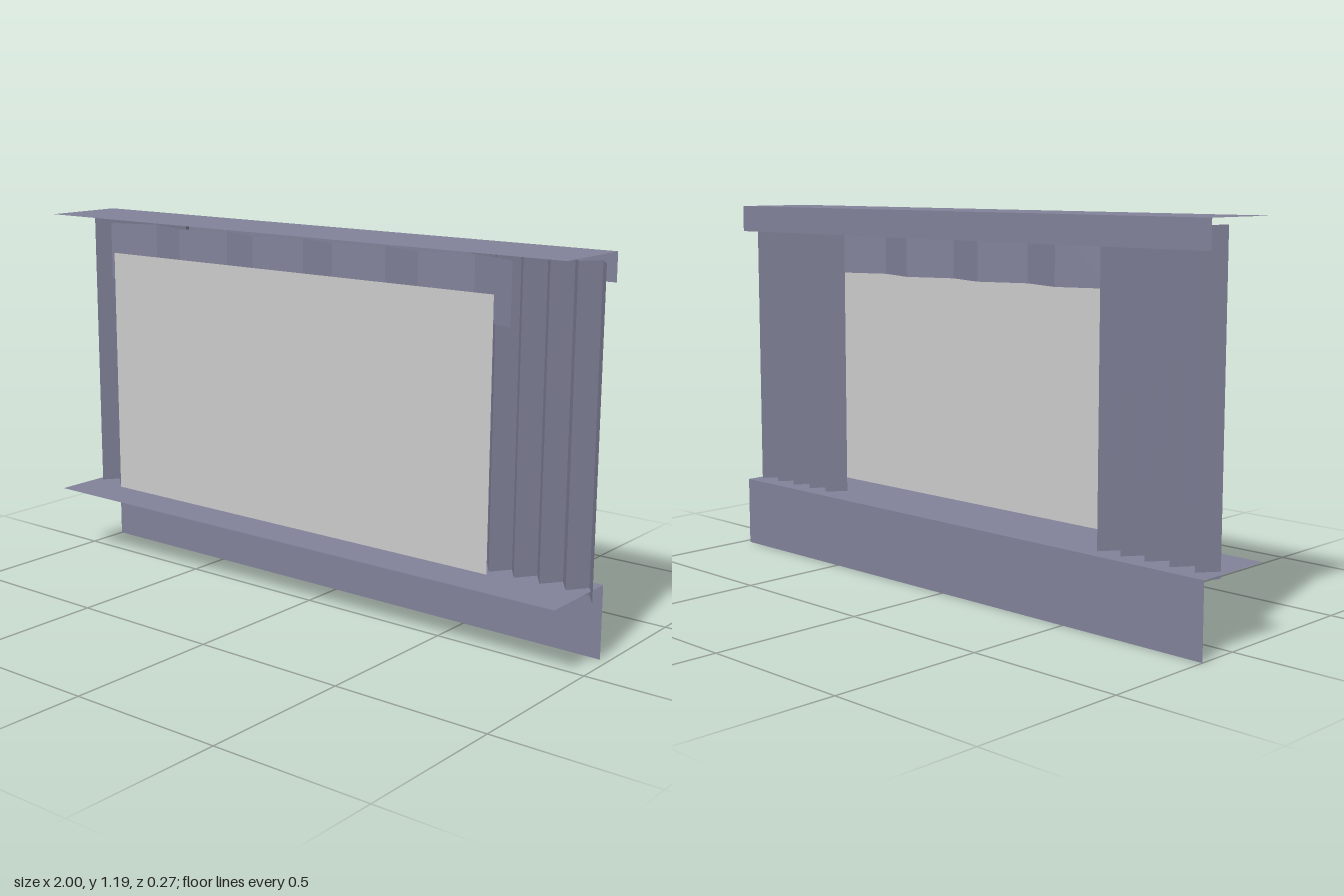
import * as THREE from 'three';

const cloth = new THREE.MeshStandardMaterial({ color: 0x82829a, side: THREE.DoubleSide, flatShading: true });
const grey = new THREE.MeshStandardMaterial({ color: 0xcccccc, side: THREE.DoubleSide });

// Flat upright panel facing +z
function panel(name, x0, x1, y0, y1, z, material) {
  const mesh = new THREE.Mesh(new THREE.PlaneGeometry(x1 - x0, y1 - y0), material);
  mesh.position.set((x0 + x1) / 2, (y0 + y1) / 2, z);
  mesh.name = name;
  return mesh;
}

// Flat horizontal board
function board(name, x0, x1, z0, z1, y) {
  const geometry = new THREE.PlaneGeometry(x1 - x0, z1 - z0).rotateX(-Math.PI / 2);
  const mesh = new THREE.Mesh(geometry, cloth);
  mesh.position.set((x0 + x1) / 2, y, (z0 + z1) / 2);
  mesh.name = name;
  return mesh;
}

// Pleated sheet: folds alternate between zFront and zBack
function pleats(name, x0, x1, y0, y1, zFront, zBack, folds) {
  const mesh = panel(name, x0, x1, y0, y1, 0, cloth);
  mesh.geometry = new THREE.PlaneGeometry(x1 - x0, y1 - y0, folds, 1);
  const pos = mesh.geometry.attributes.position;
  for (let i = 0; i < pos.count; i++) {
    pos.setZ(i, (i % (folds + 1)) % 2 ? zBack : zFront);
  }
  mesh.geometry = mesh.geometry.toNonIndexed();
  mesh.geometry.computeVertexNormals();
  return mesh;
}

export function createModel() {
  const group = new THREE.Group();
  group.name = 'curtainedWindow';
  const x0 = -1, x1 = 0.975, zBack = -0.137, zFront = 0.137;

  // Top cover and sill, each with a panel hanging along its back edge
  group.add(
    board('topCover', x0, x1, zBack, zFront, 1.186),
    panel('topFascia', x0, x1, 1.1, 1.186, zBack, cloth),
    board('sill', x0, x1, zBack, zFront, 0.228),
    panel('lowerPanel', x0, x1, 0, 0.228, zBack, cloth)
  );

  // Pane
  group.add(panel('pane', -0.8, 0.7, 0.25, 1.063, 0.052, grey));

  // Side curtains and the short valance between them
  group.add(
    pleats('rightCurtain', -0.977, -0.546, 0.207, 1.165, -0.03, -0.09, 10),
    pleats('leftCurtain', 0.569, 1, 0.207, 1.165, -0.03, -0.09, 10),
    pleats('valance', -0.84, 0.74, 0.97, 1.158, 0.025, -0.03, 10)
  );
  return group;
}
